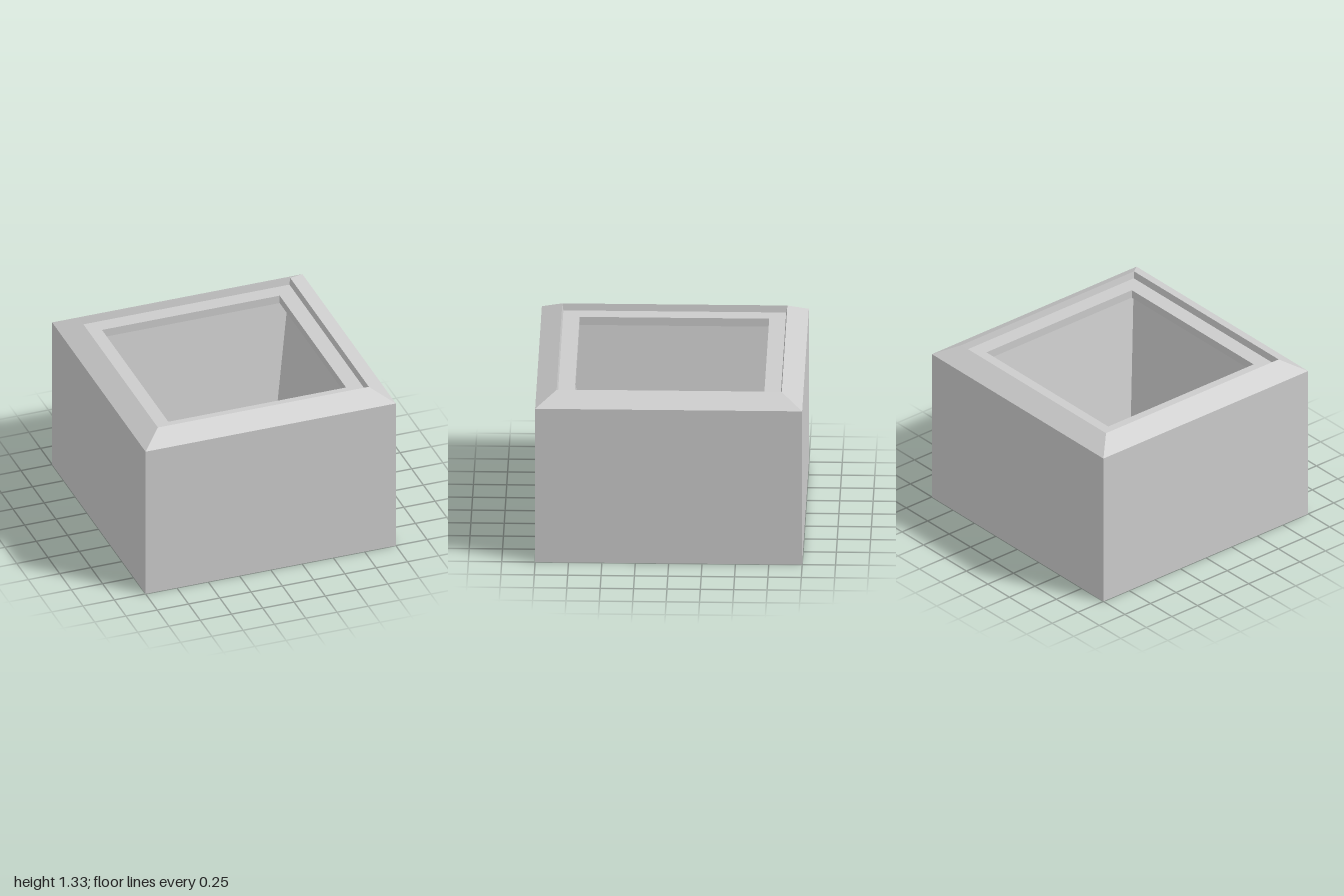
import * as THREE from 'three';

const material = new THREE.MeshStandardMaterial({ color: 0xcccccc, flatShading: true, side: THREE.DoubleSide });

// Sweeps a profile of [half width, height] points around a square plan.
function squareSweep(name, profile) {
  const points = profile.map(([half, y]) => new THREE.Vector2(half * Math.SQRT2, y));
  const geometry = new THREE.LatheGeometry(points, 4, Math.PI / 4).toNonIndexed();
  geometry.computeVertexNormals();
  const mesh = new THREE.Mesh(geometry, material);
  mesh.name = name;
  return mesh;
}

export function createModel() {
  const group = new THREE.Group();
  group.name = 'squarePlanter';

  const floorHalf = 0.62, rimHalf = 0.843, rimY = 1.333, wallY = 1.243;
  // Half width of the tapered basin at a given height
  const basinHalf = (y) => floorHalf + (rimHalf - floorHalf) * y / rimY;

  // Thin outer walls, open underneath, with the sloping rim
  group.add(squareSweep('outerWalls', [[1, 0], [1, wallY]]));
  group.add(squareSweep('slopedRim', [[1, wallY], [rimHalf, rimY]]));

  // Tapered basin hanging from the rim
  group.add(squareSweep('basinWalls', [[rimHalf, rimY], [floorHalf, 0]]));
  const floor = new THREE.Mesh(new THREE.PlaneGeometry(floorHalf * 2, floorHalf * 2), material);
  floor.rotation.x = -Math.PI / 2;
  floor.name = 'basinFloor';
  group.add(floor);

  // Flat inner frame set just below the rim
  const top = 1.28, bottom = 1.215, opening = 0.71;
  group.add(squareSweep('innerFrame', [
    [basinHalf(bottom), bottom], [basinHalf(top), top],
    [opening, top], [opening, bottom], [basinHalf(bottom), bottom],
  ]));

  return group;
}
